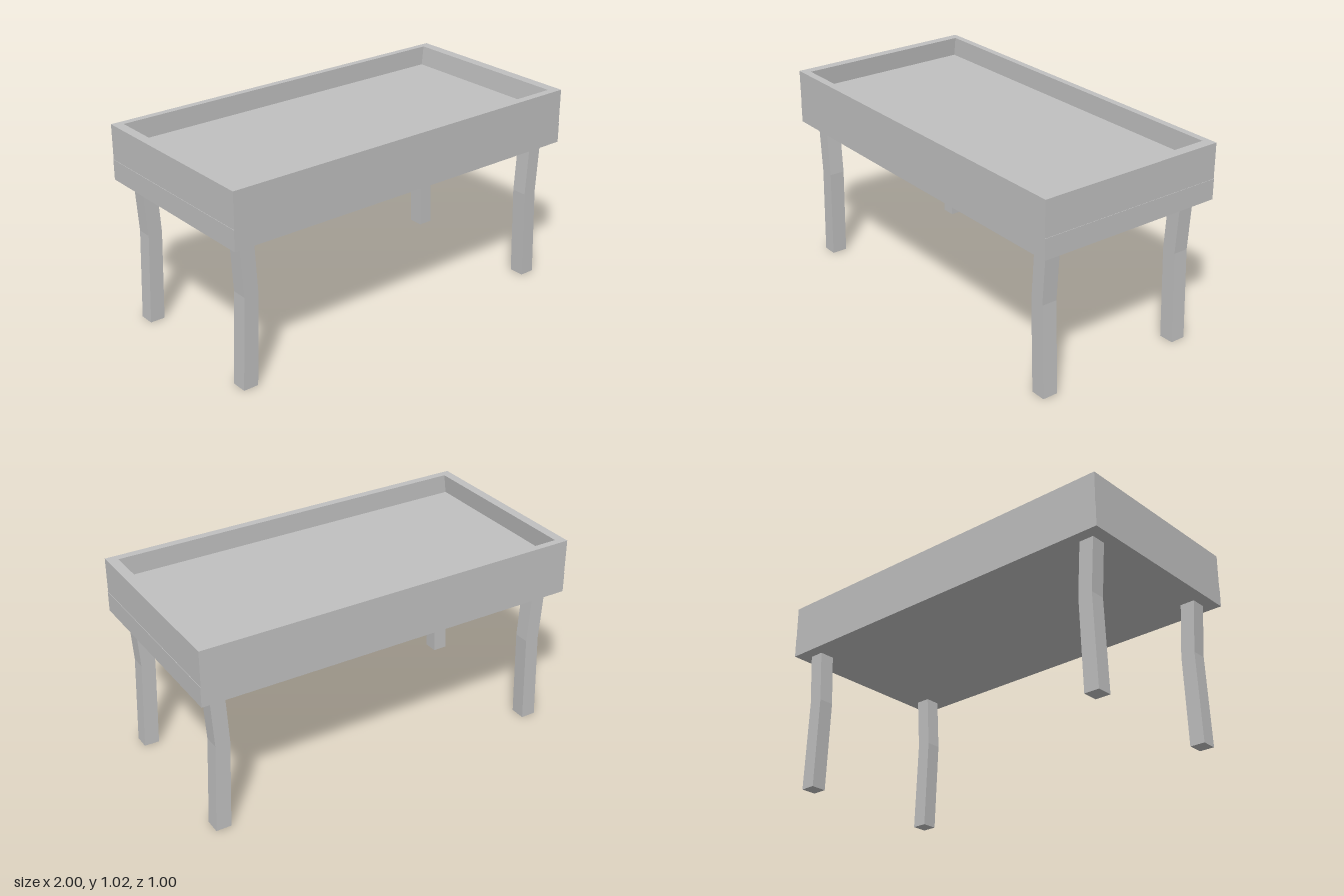
import * as THREE from 'three';

// Skin a stack of rectangles [y, x0, x1, z0, z1], capped at both ends, with flat faces
function loft(sections) {
  const rings = sections.map(([y, x0, x1, z0, z1]) => [
    [x0, y, z1], [x1, y, z1], [x1, y, z0], [x0, y, z0],
  ]);
  const pos = [];
  const quad = (a, b, c, d) => pos.push(...a, ...b, ...c, ...a, ...c, ...d);
  for (let i = 0; i < rings.length - 1; i++) {
    const low = rings[i], high = rings[i + 1];
    for (let k = 0; k < 4; k++) {
      const n = (k + 1) % 4;
      quad(low[k], low[n], high[n], high[k]);
    }
  }
  quad(...[...rings[0]].reverse());
  quad(...rings[rings.length - 1]);
  const geometry = new THREE.BufferGeometry();
  geometry.setAttribute('position', new THREE.Float32BufferAttribute(pos, 3));
  geometry.computeVertexNormals();
  return geometry;
}

export function createModel() {
  const model = new THREE.Group();
  model.name = 'trayTable';
  const grey = new THREE.MeshStandardMaterial({ color: 0xc0c0c0 });
  grey.name = 'plainGrey';

  const add = (name, geometry) => {
    const mesh = new THREE.Mesh(geometry, grey);
    mesh.name = name;
    model.add(mesh);
  };

  // Deep tray: outer walls with a fine end ledge, rim, slightly skewed recess and floor
  add('tray', loft([
    [0.742, -1, 1, -0.5, 0.5],
    [0.845, -1, 1, -0.5, 0.5],
    [0.845, -0.998, 0.998, -0.5, 0.5],
    [1.023, -0.998, 0.998, -0.5, 0.5],
    [1.023, -0.95, 0.945, -0.465, 0.46],
    [0.922, -0.963, 0.934, -0.465, 0.46],
  ]));

  // Four square legs, bent inward a little above the middle
  const legProfile = [[0, 0.86, 0.938], [0.47, 0.843, 0.918], [0.745, 0.859, 0.935]];
  for (const sx of [-1, 1]) {
    for (const sz of [-1, 1]) {
      const name = (sz > 0 ? 'front' : 'back') + (sx > 0 ? 'Left' : 'Right') + 'Leg';
      add(name, loft(legProfile.map(([y, inner, outer]) => [
        y,
        Math.min(sx * inner, sx * outer), Math.max(sx * inner, sx * outer),
        sz * 0.4 - 0.04, sz * 0.4 + 0.04,
      ])));
    }
  }
  return model;
}
